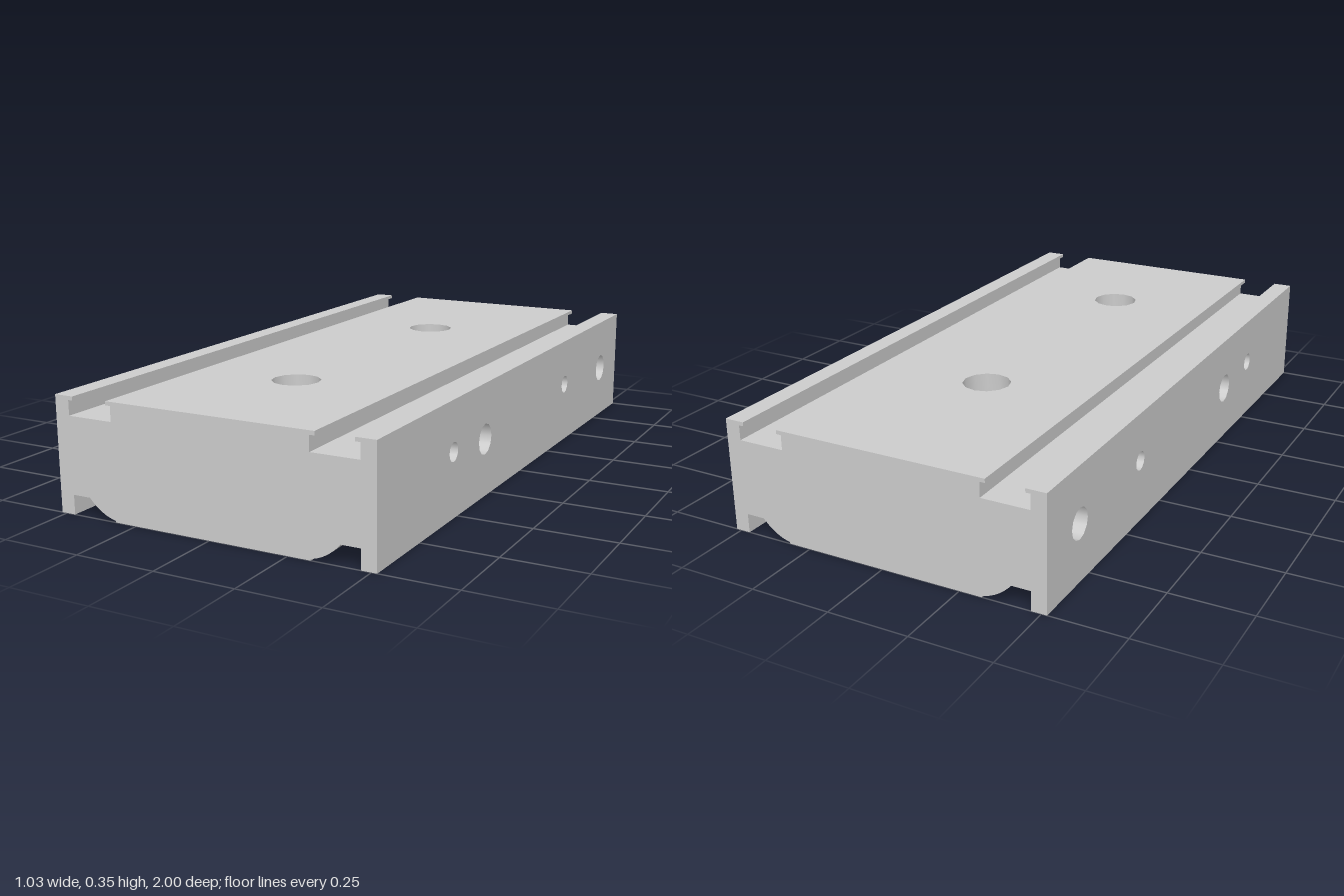
import * as THREE from 'three';
import { toCreasedNormals, mergeGeometries } from 'three/addons/utils/BufferGeometryUtils.js';

const HALF_WIDTH = 0.517, HEIGHT = 0.354, HALF_LENGTH = 1, SIDES = 12;
const BORES = [-0.41, 0.53];
const BORE = { head: 0.075, shank: 0.04, floor: 0.17 };
const DRILLS = [
  { z: 0.53, y: 0.2, r: 0.03, depth: 0.12 },
  { z: -0.41, y: 0.2, r: 0.03, depth: 0.12 },
  { z: 0.3, y: 0.18, r: 0.048, depth: 0.15 },
  { z: -0.81, y: 0.18, r: 0.048, depth: 0.15 },
];
const v2 = (x, y) => new THREE.Vector2(x, y);

// Cross-section, counter-clockwise: right half from bottom to top, then mirrored
function crossSection() {
  const belly = new THREE.QuadraticBezierCurve(v2(0.321, 0.005), v2(0.37, 0.014), v2(0.411, 0.06));
  const right = [
    v2(0.321, 0), ...belly.getPoints(8),
    v2(0.47, 0.06), v2(0.47, 0), v2(HALF_WIDTH, 0), v2(HALF_WIDTH, HEIGHT),
    v2(0.455, HEIGHT), v2(0.455, 0.342), v2(0.47, 0.342), v2(0.47, 0.296),
    v2(0.321, 0.296), v2(0.321, 0.342), v2(0.337, 0.342), v2(0.337, HEIGHT),
  ];
  return [...right, ...right.map(p => v2(-p.x, p.y)).reverse()];
}

function circlePath(u, v, r) {
  const points = [];
  for (let i = 0; i < SIDES; i++) {
    const a = (i / SIDES) * Math.PI * 2;
    points.push(v2(u + r * Math.cos(a), v + r * Math.sin(a)));
  }
  return new THREE.Path(points);
}

// Openings in the long face that runs from a to b
function openings(a, b) {
  const middle = a.distanceTo(b) / 2;
  if (a.x === -b.x) {
    const r = a.y === 0 ? BORE.shank : BORE.head;
    return BORES.map(z => circlePath(middle, z, r));
  }
  if (a.x === b.x && Math.abs(a.x) === HALF_WIDTH) {
    return DRILLS.map(d => circlePath(Math.abs(d.y - a.y), d.z, d.r));
  }
  return [];
}

// One long face, spanning a cross-section edge along z
function longFace(a, b) {
  const length = a.distanceTo(b);
  const shape = new THREE.Shape([
    v2(0, -HALF_LENGTH), v2(length, -HALF_LENGTH), v2(length, HALF_LENGTH), v2(0, HALF_LENGTH),
  ]);
  shape.holes = openings(a, b);
  const u = new THREE.Vector3(b.x - a.x, b.y - a.y, 0).normalize();
  const v = new THREE.Vector3(0, 0, 1);
  const frame = new THREE.Matrix4().makeBasis(u, v, u.clone().cross(v)).setPosition(a.x, a.y, 0);
  return new THREE.ShapeGeometry(shape).applyMatrix4(frame);
}

export function createModel() {
  const group = new THREE.Group();
  group.name = 'slottedCarriage';
  const material = new THREE.MeshStandardMaterial({ color: 0xcccccc });
  const add = (name, geometry) => {
    const mesh = new THREE.Mesh(toCreasedNormals(geometry, 0.6), material);
    mesh.name = name;
    group.add(mesh);
    return mesh;
  };

  // Body: long faces plus both ends
  const outline = crossSection();
  const faces = outline.map((p, i) => longFace(p, outline[(i + 1) % outline.length]));
  const end = new THREE.ShapeGeometry(new THREE.Shape(outline)).translate(0, 0, HALF_LENGTH);
  add('body', mergeGeometries([...faces, end, end.clone().rotateY(Math.PI)]));

  // Counterbored screw holes, top to bottom
  for (const z of BORES) {
    add('screwHole', new THREE.LatheGeometry([
      v2(BORE.head, HEIGHT), v2(BORE.head, BORE.floor), v2(BORE.shank, BORE.floor), v2(BORE.shank, 0),
    ], SIDES)).position.z = z;
  }

  // Blind holes with conical ends on both sides
  for (const side of [1, -1]) {
    for (const d of DRILLS) {
      const hole = add('sideHole', new THREE.LatheGeometry([
        v2(d.r, 0), v2(d.r, -d.depth), v2(0, -d.depth - d.r * 0.6),
      ], SIDES));
      hole.rotation.z = -side * Math.PI / 2;
      hole.position.set(side * HALF_WIDTH, d.y, d.z);
    }
  }
  return group;
}
